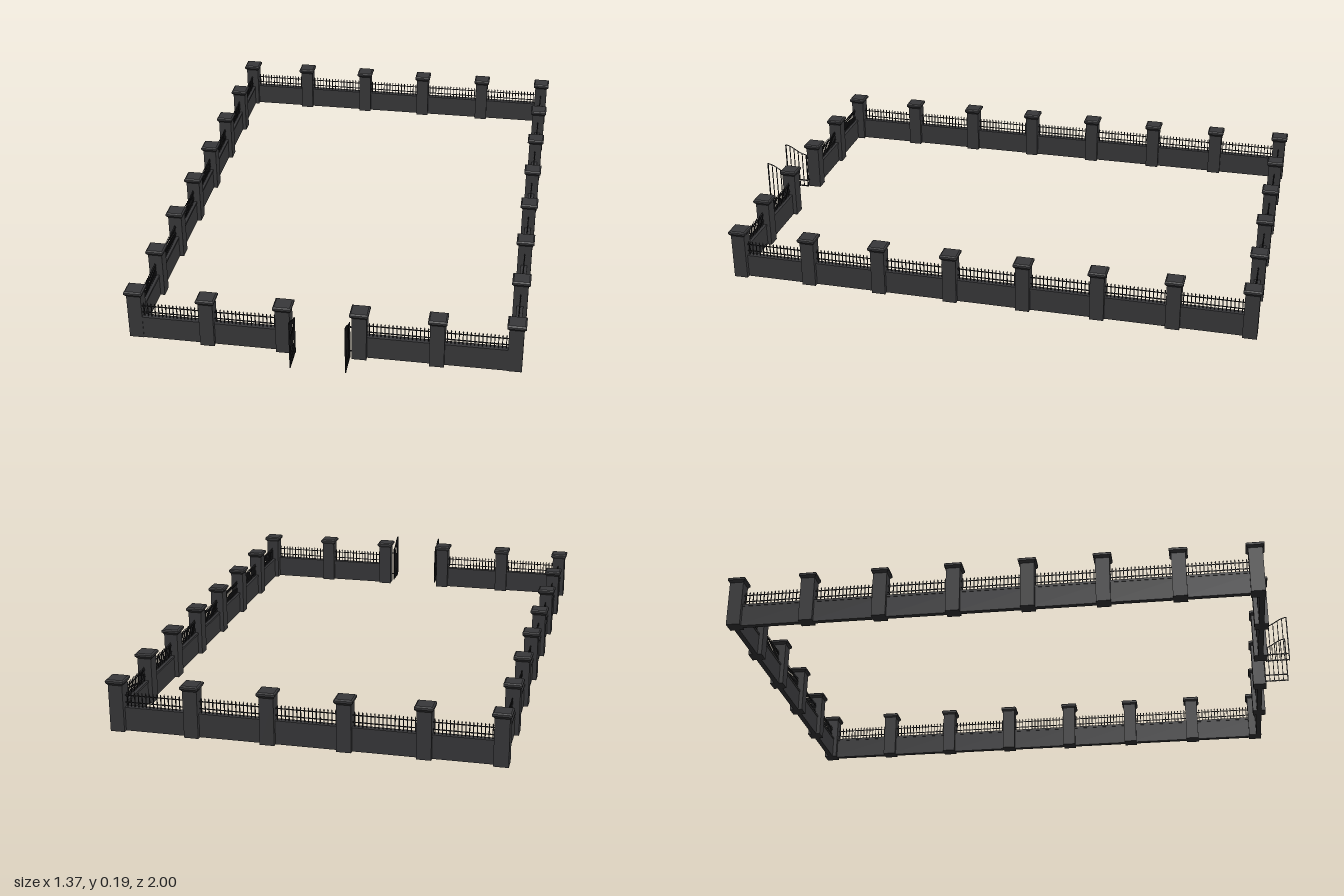
import * as THREE from 'three';
import { mergeGeometries } from 'three/addons/utils/BufferGeometryUtils.js';

const stone = new THREE.MeshStandardMaterial({ color: 0x38383a, flatShading: true });
const iron = new THREE.MeshStandardMaterial({ color: 0x1c1c1e, flatShading: true });

const WALL_H = 0.085, BODY = 0.05, CAP = 0.064, TOP = 0.187;

function box(w, h, d, x, y, z) {
  return new THREE.BoxGeometry(w, h, d).translate(x, y, z);
}

function named(name, geometries, material) {
  const mesh = new THREE.Mesh(mergeGeometries(geometries), material);
  mesh.name = name;
  return mesh;
}

// Square frustum from y0 to y1
function frustum(w0, w1, y0, y1) {
  return new THREE.CylinderGeometry(w1 / Math.SQRT2, w0 / Math.SQRT2, y1 - y0, 4)
    .rotateY(Math.PI / 4).translate(0, (y0 + y1) / 2, 0);
}

// Pillar: square shaft with a flared cap
function pillar(x, z) {
  const g = new THREE.Group();
  g.name = 'pillar';
  g.add(named('pillarShaft', [box(BODY, 0.168, BODY, 0, 0.084, 0)], stone));
  g.add(named('pillarCap', [
    frustum(BODY, CAP, 0.167, 0.176),
    box(CAP, 0.007, CAP, 0, 0.1795, 0),
    frustum(CAP, CAP * 0.85, 0.183, TOP),
  ], stone));
  g.position.set(x, 0, z);
  return g;
}

// Low wall with coping and iron railing between two points
function section(a, b) {
  const g = new THREE.Group();
  g.name = 'wallSection';
  const dx = b[0] - a[0], dz = b[1] - a[1], len = Math.hypot(dx, dz);
  g.add(named('lowWall', [box(len, WALL_H - 0.008, 0.019, 0, (WALL_H - 0.008) / 2, 0)], stone));
  g.add(named('coping', [box(len, 0.008, 0.023, 0, WALL_H - 0.004, 0)], stone));

  const bars = [0.1, 0.125].map(y => box(len - BODY, 0.003, 0.003, 0, y, 0));
  const span = len - BODY, count = 16;
  for (let i = 0; i < count; i++) {
    const x = -span / 2 + (i + 0.5) * span / count;
    bars.push(box(0.003, 0.05, 0.003, x, 0.108, 0));
    bars.push(new THREE.ConeGeometry(0.003, 0.007, 4).translate(x, 0.1355, 0));
  }
  g.add(named('railing', bars, iron));
  g.position.set((a[0] + b[0]) / 2, 0, (a[1] + b[1]) / 2);
  g.rotation.y = -Math.atan2(dz, dx);
  return g;
}

// Gate leaf, swung outwards, rising in a curve to its free end
function gateLeaf(x) {
  const z0 = 0.912, z1 = 0.998, height = t => 0.148 + 0.036 * t * t * (3 - 2 * t);
  const parts = [];
  const count = 6;
  for (let i = 0; i < count; i++) {
    const t = i / (count - 1), h = height(t) - 0.004;
    const w = i === 0 || i === count - 1 ? 0.004 : 0.0028;
    parts.push(box(w, h, w, x, 0.004 + h / 2, z0 + (z1 - z0) * t));
  }
  for (const y of [0.007, 0.032]) {
    parts.push(box(0.003, 0.004, z1 - z0, x, y, (z0 + z1) / 2));
  }
  const points = [];
  for (let i = 0; i <= 6; i++) {
    points.push(new THREE.Vector3(x, height(i / 6), z0 + (z1 - z0) * i / 6));
  }
  parts.push(new THREE.TubeGeometry(new THREE.CatmullRomCurve3(points), 12, 0.002, 5));
  // Hinges reaching back to the pillar
  for (const y of [0.032, 0.13]) {
    parts.push(box(0.016, 0.004, 0.004, x + Math.sign(x) * 0.007, y, z0));
  }
  return named('gateLeaf', parts, iron);
}

export function createModel() {
  const model = new THREE.Group();
  model.name = 'walledEnclosure';

  const L = -0.654, R = 0.649, back = -0.968;
  const sideZ = Array.from({ length: 8 }, (_, i) => back + i * 0.2635);
  const backX = [L, -0.403, -0.138, 0.123, 0.387, R];
  const front = 0.89;

  // Runs of pillar positions around the plot, open at the gate
  const runs = [
    backX.map(x => [x, back]),
    sideZ.map(z => [L, z]),
    sideZ.map(z => [R, z]),
    [[L, front], [-0.4, front], [-0.135, front]],
    [[0.126, front], [0.389, front], [R, front]],
  ];
  const placed = [];
  for (const run of runs) {
    run.forEach((p, i) => {
      if (i > 0) model.add(section(run[i - 1], p));
      // Corner pillars are shared between two runs
      if (placed.some(q => Math.hypot(q[0] - p[0], q[1] - p[1]) < 0.05)) return;
      placed.push(p);
      model.add(pillar(p[0], p[1]));
    });
  }

  model.add(gateLeaf(-0.094), gateLeaf(0.094));
  return model;
}
